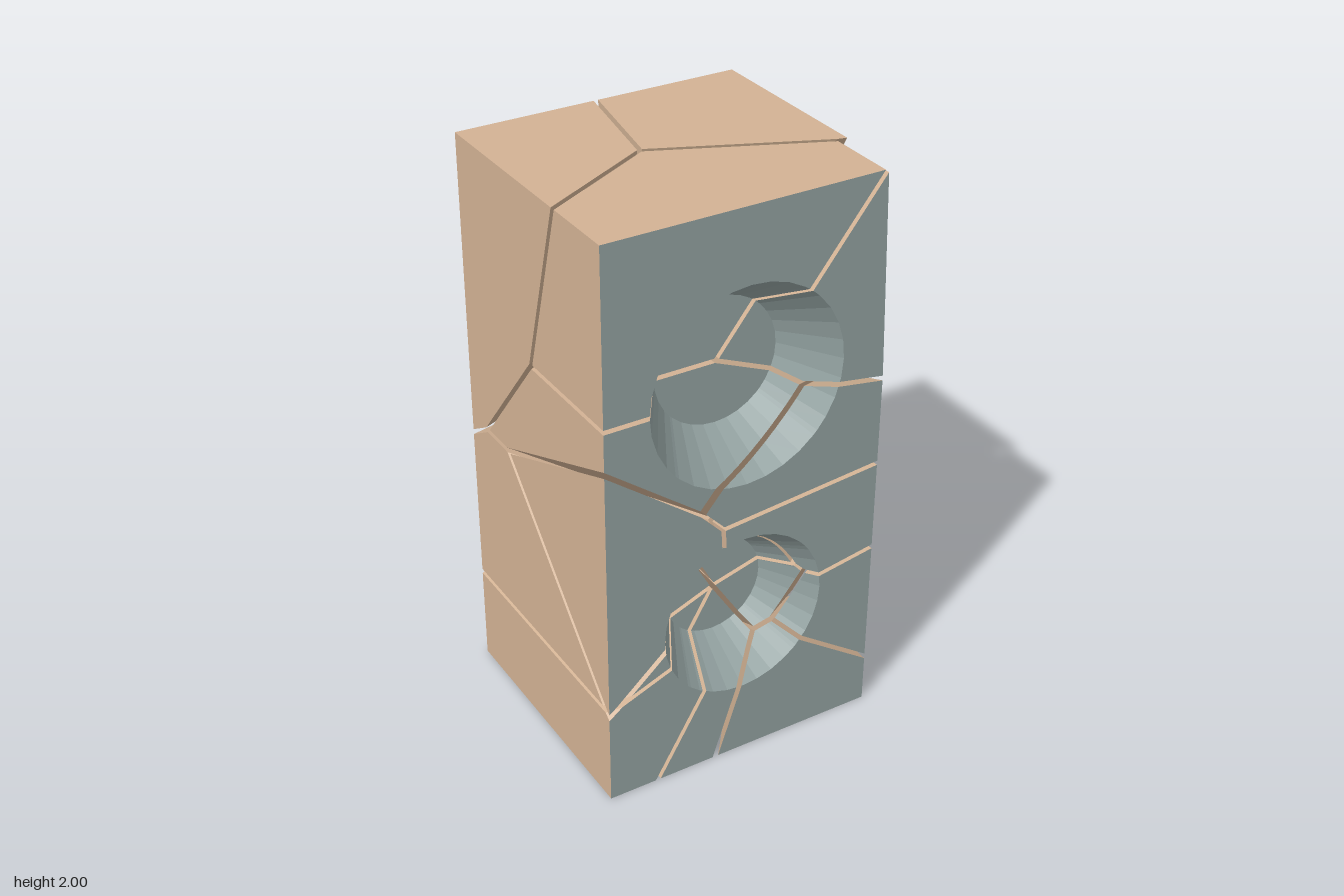
import * as THREE from 'three';

const V = (x, y, z) => new THREE.Vector3(x, y, z);
const TAN = 'stone', GREY = 'lining', NONE = null; // NONE = inner joint, never drawn
const FRONT = 0.45, BACK = -0.45, FLOOR = 0.26, RECESS = -0.31, SPLIT = 0.95;
const HALF_GAP = 0.008;

// Fracture seeds: each fragment is the part of the block nearest to its seed
const SEEDS = {
  topFront: [0.057, 1.613, 0.317],
  topRightFront: [0.193, 1.506, 0.317],
  topRightBack: [0.35, 1.88, -0.35],
  topLeftBack: [-0.37, 1.854, -0.484],
  middle: [0.057, 1.187, 0.317],
  middleRightFront: [0.13, 1.125, 0.455],
  leftFront: [-0.3, 0.716, 0.509],
  rightFront: [0.165, 0.745, 0.46],
  lowerRightFront: [0.219, 0.428, 0.458],
  bottomRightFront: [0.168, 0.354, 0.458],
  upperCore: [0.087, 0.655, 0.317],
  leftCore: [-0.134, 0.529, 0.317],
  lowerLeftCore: [-0.112, 0.473, 0.317],
  bottomCore: [-0.012, 0.4145, 0.317],
  rightCore: [0.128, 0.505, 0.317],
};

const rect = (x, y0, y1) => [[-x, y0], [x, y0], [x, y1], [-x, y1]];

// Convex solid between two matching loops; kinds = one per side, then front, back
function prism(front, back, z1, z0, kinds) {
  const f = front.map(([x, y]) => V(x, y, z1)), b = back.map(([x, y]) => V(x, y, z0));
  const n = f.length;
  const faces = f.map((p, i) => ({ pts: [p, b[i], b[(i + 1) % n], f[(i + 1) % n]], kind: kinds[i] }));
  faces.push({ pts: f, kind: kinds[n] }, { pts: b.slice().reverse(), kind: kinds[n + 1] });
  return faces;
}

// Outer skin by position: underside is lined, the joint at SPLIT is hidden
function skin([, ya], [, yb]) {
  if (Math.abs(ya - yb) < 1e-6) {
    if (Math.abs(ya - SPLIT) < 1e-6) return NONE;
    if (ya < 1e-6) return GREY;
  }
  return TAN;
}

// Ring of convex wedges between an opening and an outer outline
function ring(outer, innerFront, innerBack, z1, z0, frontKind, backKind) {
  return outer.map((o, i) => {
    const j = (i + 1) % outer.length;
    return prism([innerFront[i], o, outer[j], innerFront[j]], [innerBack[i], o, outer[j], innerBack[j]],
      z1, z0, [NONE, skin(o, outer[j]), NONE, GREY, frontKind, backKind]);
  });
}

// Front layer around one conical opening, plus the disc at its bottom
function crater(cy, rOut, rIn, y0, y1) {
  const angles = Array.from({ length: 32 }, (_, i) => (i / 32) * Math.PI * 2);
  for (const [x, y] of rect(0.5, y0, y1)) {
    const a = (Math.atan2(y - cy, x) + Math.PI * 2) % (Math.PI * 2);
    if (!angles.some((b) => Math.abs(a - b) < 1e-4)) angles.push(a);
  }
  angles.sort((a, b) => a - b);
  const circle = (r) => angles.map((a) => [r * Math.cos(a), cy + r * Math.sin(a)]);
  const outer = angles.map((a) => {
    const c = Math.cos(a), s = Math.sin(a);
    const t = Math.min(0.5 / Math.max(Math.abs(c), 1e-9), (s > 0 ? y1 - cy : cy - y0) / Math.max(Math.abs(s), 1e-9));
    return [t * c, cy + t * s];
  });
  const disc = [{ pts: circle(rIn).map(([x, y]) => V(x, y, FLOOR)), kind: GREY }];
  return [...ring(outer, circle(rOut), circle(rIn), FRONT, FLOOR, GREY, NONE), disc];
}

// The whole block as convex pieces
function blockPieces() {
  const body = rect(0.5, 0, 2), hole = rect(0.325, 0.175, 1.825);
  return [
    ...crater(1.4, 0.345, 0.22, SPLIT, 2),
    ...crater(0.555, 0.295, 0.18, 0, SPLIT),
    prism(body, body, FLOOR, RECESS, [GREY, TAN, TAN, TAN, NONE, NONE]),
    ...ring(body, hole, hole, RECESS, BACK, NONE, TAN),
    [{ pts: hole.map(([x, y]) => V(x, y, RECESS)).reverse(), kind: GREY }],
  ];
}

// Keep the part of a convex piece behind a plane and close the cut
function clip(faces, plane) {
  const kept = [], cut = [];
  let changed = false;
  for (const { pts, kind } of faces) {
    const out = [];
    pts.forEach((p, i) => {
      const q = pts[(i + 1) % pts.length];
      const dp = plane.distanceToPoint(p), dq = plane.distanceToPoint(q);
      if (dp <= 0) out.push(p);
      else changed = true;
      if ((dp <= 0) !== (dq <= 0)) {
        const m = p.clone().lerp(q, dp / (dp - dq));
        out.push(m);
        if (!cut.some((c) => c.distanceToSquared(m) < 1e-12)) cut.push(m);
      }
    });
    if (out.length > 2) kept.push({ pts: out, kind });
  }
  if (changed && cut.length > 2) {
    const mid = cut.reduce((s, p) => s.add(p), V(0, 0, 0)).divideScalar(cut.length);
    const u = cut[0].clone().sub(mid).normalize(), w = plane.normal.clone().cross(u);
    const angle = (p) => Math.atan2(p.clone().sub(mid).dot(w), p.clone().sub(mid).dot(u));
    kept.push({ pts: cut.sort((a, b) => angle(a) - angle(b)), kind: TAN });
  }
  return kept;
}

function toGeometry(faces) {
  const pos = [];
  for (const { pts } of faces)
    for (let i = 1; i < pts.length - 1; i++)
      for (const p of [pts[0], pts[i], pts[i + 1]]) pos.push(p.x, p.y, p.z);
  const g = new THREE.BufferGeometry();
  g.setAttribute('position', new THREE.Float32BufferAttribute(pos, 3));
  g.computeVertexNormals();
  return g;
}

export function createModel() {
  const model = new THREE.Group();
  model.name = 'crackedBlock';
  const materials = {
    [TAN]: new THREE.MeshStandardMaterial({ color: 0xd2b294, flatShading: true }),
    [GREY]: new THREE.MeshStandardMaterial({ color: 0x93a2a1, flatShading: true }),
  };
  const pieces = blockPieces();

  for (const [name, s] of Object.entries(SEEDS)) {
    const seed = V(...s);
    // Planes halfway to every other seed, pulled in to leave the crack open
    const planes = Object.values(SEEDS).filter((o) => o !== s).map((o) => {
      const other = V(...o);
      const n = other.clone().sub(seed).normalize();
      const p = seed.clone().add(other).multiplyScalar(0.5).addScaledVector(n, -HALF_GAP);
      return new THREE.Plane().setFromNormalAndCoplanarPoint(n, p);
    });
    // Sliver broken off the upper right front corner
    if (name === 'topRightFront')
      planes.push(new THREE.Plane().setFromNormalAndCoplanarPoint(V(0.66, 0.025, 0).normalize(), V(0.473, 2, 0)));

    const faces = pieces.flatMap((piece) => planes.reduce((f, pl) => (f.length ? clip(f, pl) : f), piece));
    const fragment = new THREE.Group();
    fragment.name = name + 'Fragment';
    for (const kind of [TAN, GREY]) {
      const own = faces.filter((f) => f.kind === kind);
      if (!own.length) continue;
      const mesh = new THREE.Mesh(toGeometry(own), materials[kind]);
      mesh.name = name + (kind === TAN ? 'Stone' : 'Lining');
      fragment.add(mesh);
    }
    model.add(fragment);
  }
  return model;
}
